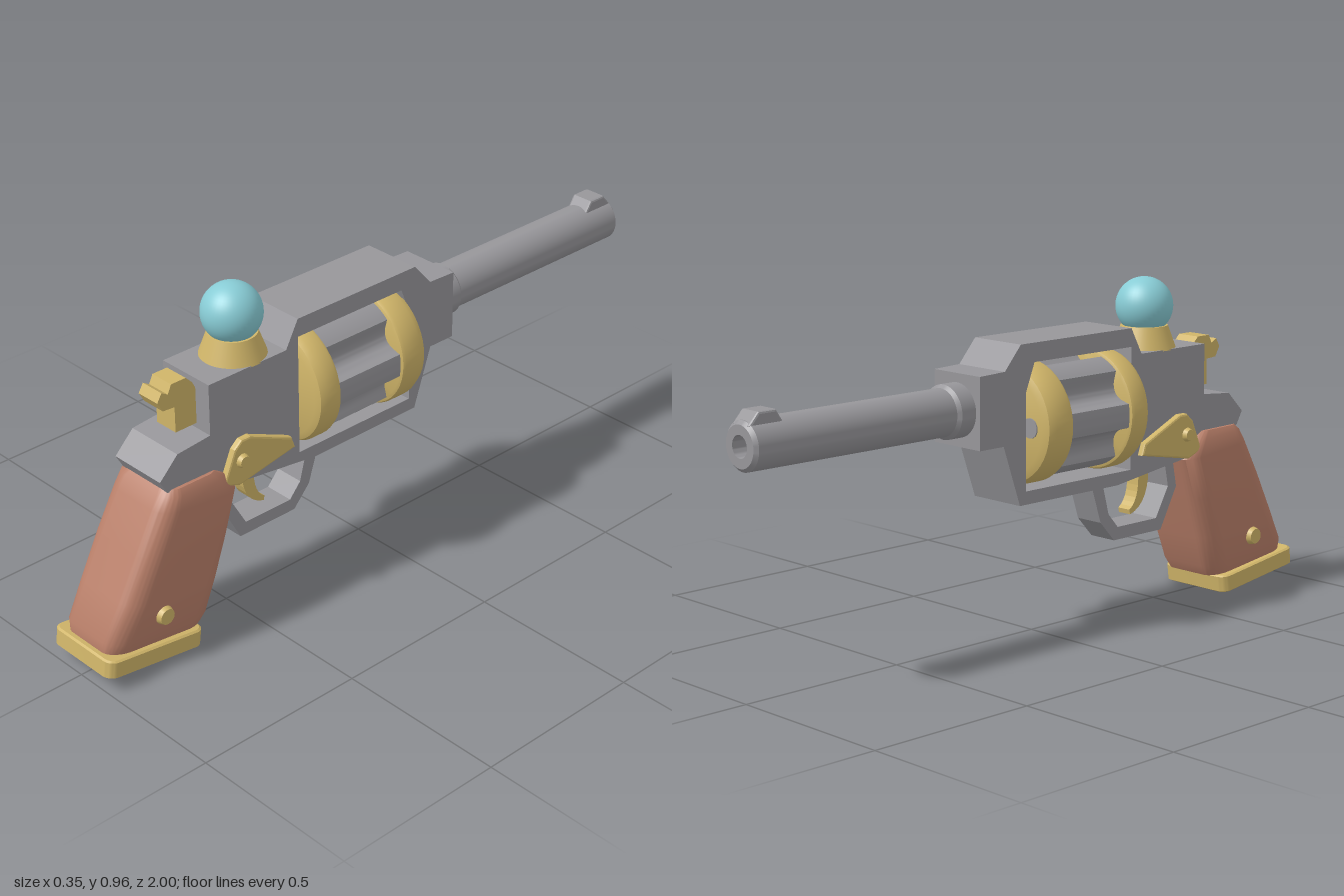
import * as THREE from 'three';
import { toCreasedNormals } from 'three/addons/utils/BufferGeometryUtils.js';

const material = (name, color) => {
  const m = new THREE.MeshStandardMaterial({ color });
  m.name = name;
  return m;
};

// Shape from [z, y] side-profile points
const sideShape = (pts) => new THREE.Shape(pts.map(([z, y]) => new THREE.Vector2(-z, y)));

// Extrude a side profile across x, from x0 to x1, with an optional bevel inside the depth
function sideExtrude(shape, x0, x1, bevel = 0) {
  const g = new THREE.ExtrudeGeometry(shape, {
    depth: x1 - x0 - 2 * bevel, curveSegments: 8,
    bevelEnabled: bevel > 0, bevelSize: bevel, bevelOffset: -bevel, bevelThickness: bevel, bevelSegments: 2,
  });
  return g.translate(0, 0, x0 + bevel).rotateY(Math.PI / 2);
}

// Lathe around the z axis from [radius, z] points with z rising
function latheZ(pts, segments = 48) {
  const g = new THREE.LatheGeometry(pts.map(([r, z]) => new THREE.Vector2(r, z)), segments);
  return toCreasedNormals(g.rotateX(Math.PI / 2), 0.6);
}

function roundedRect(w, h, r) {
  const s = new THREE.Shape();
  s.absarc(w - r, h - r, r, 0, Math.PI / 2);
  s.absarc(-w + r, h - r, r, Math.PI / 2, Math.PI);
  s.absarc(-w + r, -h + r, r, Math.PI, Math.PI * 1.5);
  s.absarc(w - r, -h + r, r, Math.PI * 1.5, Math.PI * 2);
  return s;
}

// Grip: rounded sections running between a back and a front edge
function gripGeometry() {
  // [back z, back y, front z, front y, half width]
  const rows = [
    [0.975, 0.095, 0.655, 0.055, 0.104], [0.972, 0.125, 0.637, 0.085, 0.113],
    [0.918, 0.225, 0.605, 0.18, 0.119], [0.855, 0.345, 0.565, 0.3, 0.12],
    [0.795, 0.455, 0.527, 0.425, 0.117], [0.772, 0.49, 0.56, 0.48, 0.112],
    [0.757, 0.505, 0.59, 0.503, 0.1],
  ];
  const ring = roundedRect(1, 1, 0.42).getPoints(8);
  ring.pop();
  const n = ring.length, pos = [], idx = [];
  for (const [bz, by, fz, fy, w] of rows) {
    for (const p of ring) {
      const t = (p.y + 1) / 2;
      pos.push(p.x * w, fy + (by - fy) * t, fz + (bz - fz) * t);
    }
  }
  for (let i = 0; i < rows.length - 1; i++) {
    for (let j = 0; j < n; j++) {
      const a = i * n + j, b = i * n + (j + 1) % n;
      idx.push(a, a + n, b, b, a + n, b + n);
    }
  }
  const top = (rows.length - 1) * n;
  for (let j = 1; j < n - 1; j++) {
    idx.push(0, j, j + 1, top, top + j + 1, top + j);
  }
  const g = new THREE.BufferGeometry();
  g.setAttribute('position', new THREE.Float32BufferAttribute(pos, 3));
  g.setIndex(idx);
  return toCreasedNormals(g, 0.7);
}

export function createModel() {
  const steel = material('steel grey', 0x97969a);
  const brass = material('brass', 0xd0b569);
  const wood = material('wood', 0xb97f69);
  const glass = material('pale blue', 0x88ccd5);

  const model = new THREE.Group();
  model.name = 'toyRevolver';
  const add = (name, geometry, mat, x = 0, y = 0, z = 0) => {
    const mesh = new THREE.Mesh(geometry, mat);
    mesh.name = name;
    mesh.position.set(x, y, z);
    model.add(mesh);
    return mesh;
  };

  // Frame with a window for the drum
  const frame = sideShape([
    [0.303, 0.835], [0.345, 0.758], [0.61, 0.758], [0.61, 0.61], [0.72, 0.6], [0.78, 0.54], [0.757, 0.5],
    [0.6, 0.5], [0.53, 0.43], [0.25, 0.393], [-0.13, 0.393], [-0.19, 0.565], [-0.276, 0.565],
    [-0.276, 0.765], [-0.185, 0.768], [-0.126, 0.835],
  ]);
  frame.holes.push(sideShape([[0.303, 0.43], [-0.108, 0.43], [-0.108, 0.7], [-0.075, 0.782], [0.303, 0.782]]));
  add('frame', sideExtrude(frame, -0.09, 0.09), steel);

  // Barrel with collar, bore and front sight
  add('barrel', latheZ([
    [0, -0.95], [0.03, -0.95], [0.03, -1], [0.056, -1], [0.066, -0.99], [0.066, -0.335],
    [0.075, -0.325], [0.075, -0.27],
  ]), steel, 0, 0.665, 0);
  add('frontSight', sideExtrude(sideShape([
    [-0.885, 0.715], [-0.91, 0.753], [-0.965, 0.753], [-0.995, 0.72], [-0.995, 0.7], [-0.885, 0.7],
  ]), -0.035, 0.035, 0.006), steel);

  // Fluted drum between two brass rings
  const drum = [];
  for (let i = 0; i < 120; i++) {
    const deg = i * 3;
    const d = Math.abs((deg % 60) - 30) / 16;
    const r = 0.162 - (d < 1 ? 0.04 * Math.sqrt(1 - d * d) : 0);
    const a = deg * Math.PI / 180;
    drum.push(new THREE.Vector2(Math.cos(a) * r, Math.sin(a) * r));
  }
  const drumGeometry = new THREE.ExtrudeGeometry(new THREE.Shape(drum), { depth: 0.26, bevelEnabled: false });
  add('drum', toCreasedNormals(drumGeometry, 0.6), steel, 0, 0.605, -0.02);
  const ringProfile = (z0, z1, front, back) => [
    [0, z0], [0.173 - front, z0], [0.173 - front * 0.3, z0 + front * 0.3], [0.173, z0 + front],
    [0.173, z1 - back], [0.173 - back * 0.3, z1 - back * 0.3], [0.173 - back, z1], [0, z1],
  ];
  add('frontRing', latheZ(ringProfile(-0.1, -0.003, 0.03, 0.012)), brass, 0, 0.605, 0);
  add('rearRing', latheZ(ringProfile(0.222, 0.3, 0.012, 0.025)), brass, 0, 0.605, 0);
  for (let i = 0; i < 6; i++) {
    const a = i * Math.PI / 3;
    const plug = new THREE.CylinderGeometry(0.028, 0.028, 0.008, 16).rotateX(Math.PI / 2);
    add('chamberPlug', plug, steel, Math.cos(a) * 0.1, 0.605 + Math.sin(a) * 0.1, -0.1);
  }

  // Ball on a conical mount
  add('ballMount', new THREE.CylinderGeometry(0.068, 0.092, 0.066, 40), brass, 0, 0.788, 0.45);
  add('ball', new THREE.SphereGeometry(0.083, 40, 28), glass, 0, 0.877, 0.45);

  // Hammer
  add('hammer', sideExtrude(sideShape([
    [0.605, 0.625], [0.605, 0.72], [0.62, 0.75], [0.64, 0.77], [0.688, 0.77], [0.7, 0.745],
    [0.72, 0.757], [0.735, 0.732], [0.718, 0.703], [0.68, 0.7], [0.68, 0.625],
  ]), -0.037, 0.037), brass);

  // Trigger guard and trigger
  add('triggerGuard', sideExtrude(sideShape([
    [0.525, 0.44], [0.545, 0.34], [0.48, 0.22], [0.285, 0.22], [0.23, 0.28], [0.19, 0.4],
    [0.235, 0.4], [0.262, 0.3], [0.3, 0.257], [0.46, 0.257], [0.51, 0.345], [0.49, 0.44],
  ]), -0.045, 0.045), steel);
  const trigger = new THREE.Shape();
  trigger.moveTo(-0.45, 0.43);
  trigger.quadraticCurveTo(-0.46, 0.3, -0.375, 0.278);
  trigger.lineTo(-0.372, 0.292);
  trigger.quadraticCurveTo(-0.42, 0.32, -0.405, 0.43);
  add('trigger', sideExtrude(trigger, -0.022, 0.022), brass);

  // Grip and its base cap
  add('grip', gripGeometry(), wood);
  const capGeometry = new THREE.ExtrudeGeometry(roundedRect(0.122, 0.161, 0.03), {
    depth: 0.045, curveSegments: 5, bevelEnabled: true,
    bevelSize: 0.006, bevelOffset: -0.006, bevelThickness: 0.004, bevelSegments: 1,
  });
  capGeometry.translate(0, 0, -0.0225).rotateX(Math.PI / 2);
  add('gripCap', toCreasedNormals(capGeometry, 0.5), brass, 0, 0.05, 0.838).rotation.x = -0.133;

  // Side plates and screws, mirrored
  const plate = sideShape([
    [0.585, 0.452], [0.545, 0.545], [0.52, 0.566], [0.49, 0.566], [0.345, 0.502], [0.333, 0.468], [0.53, 0.432],
  ]);
  const screw = (r, h) => new THREE.CylinderGeometry(r * 0.7, r, h, 20);
  for (const s of [1, -1]) {
    add('sidePlate', sideExtrude(plate, s > 0 ? 0.085 : -0.109, s > 0 ? 0.109 : -0.085, 0.006), brass);
    add('plateScrew', screw(0.023, 0.02), brass, s * 0.112, 0.505, 0.52).rotation.z = -s * Math.PI / 2;
    add('gripScrew', screw(0.032, 0.03), brass, s * 0.116, 0.16, 0.807).rotation.z = -s * Math.PI / 2;
  }
  return model;
}
